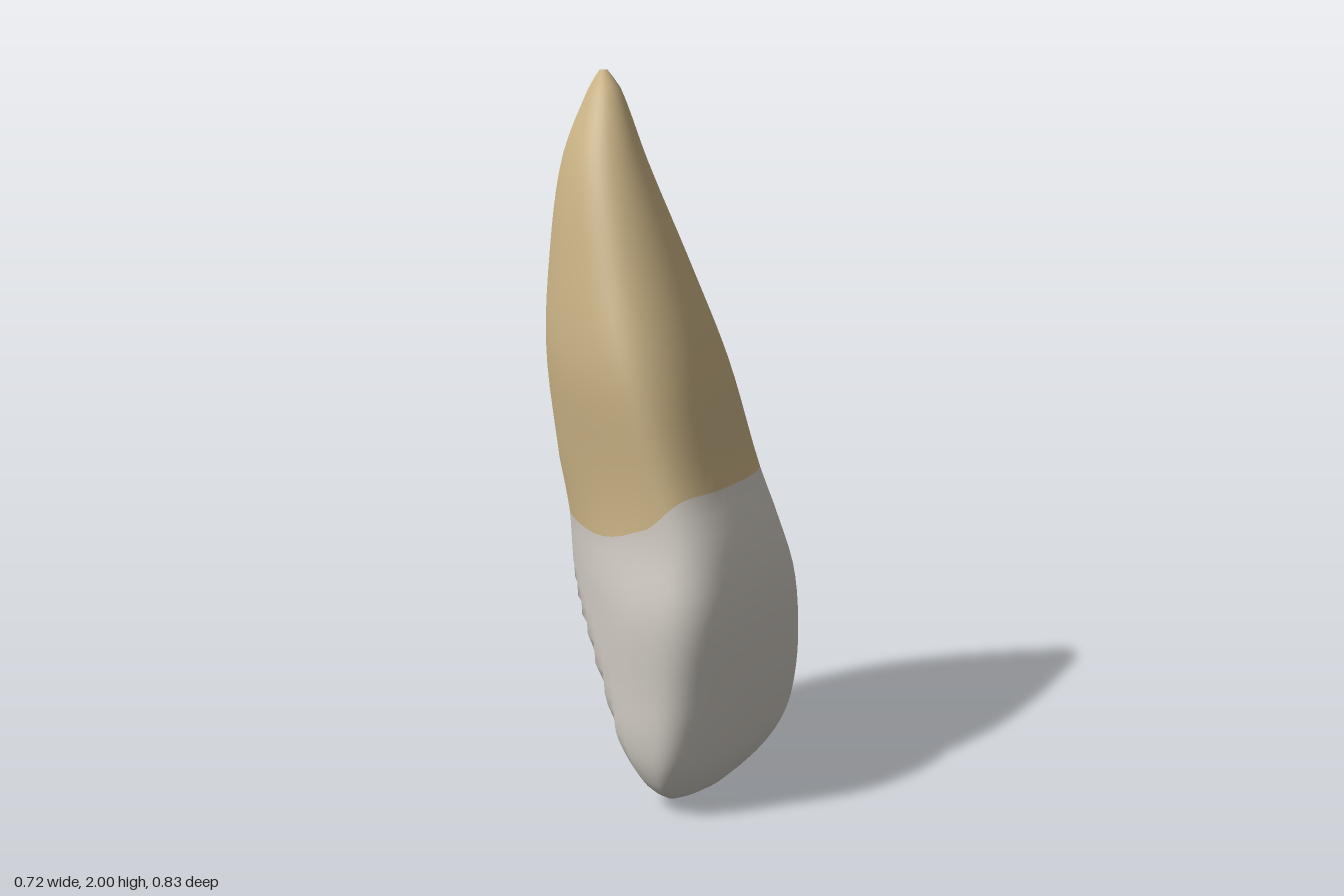
import * as THREE from 'three';

// Outline by height: y, xMin, xMax, front z, z of widest point, back z
const OUTLINE = [
  [0.00, -0.15, 0.06, 0.27, 0.235, 0.18],
  [0.03, -0.285, 0.225, 0.295, 0.235, 0.10],
  [0.10, -0.345, 0.31, 0.335, 0.22, -0.10],
  [0.20, -0.365, 0.35, 0.36, 0.19, -0.28],
  [0.35, -0.357, 0.357, 0.382, 0.16, -0.34],
  [0.57, -0.343, 0.320, 0.392, 0.14, -0.34],
  [0.75, -0.297, 0.262, 0.355, 0.11, -0.34],
  [0.90, -0.284, 0.245, 0.285, 0.08, -0.375],
  [1.20, -0.280, 0.231, 0.185, -0.02, -0.412],
  [1.45, -0.225, 0.188, 0.070, -0.12, -0.410],
  [1.75, -0.130, 0.115, -0.090, -0.22, -0.378],
  [1.95, -0.015, 0.080, -0.215, -0.27, -0.322],
  [2.00, 0.035, 0.060, -0.275, -0.287, -0.300],
];
const SIDES = 56, CROWN_RINGS = 26, ROOT_RINGS = 22, YAW = 0.2;
const { smoothstep } = THREE.MathUtils;

// Smooth interpolation of every outline column at height y
function outlineAt(y) {
  const n = OUTLINE.length;
  let i = 0;
  while (i < n - 2 && y > OUTLINE[i + 1][0]) i++;
  const a = OUTLINE[i], b = OUTLINE[i + 1], h = b[0] - a[0], t = (y - a[0]) / h;
  const slope = (j, c) => {
    const p = OUTLINE[Math.max(j - 1, 0)], q = OUTLINE[Math.min(j + 1, n - 1)];
    return (q[c] - p[c]) / (q[0] - p[0]);
  };
  const t2 = t * t, t3 = t2 * t;
  return a.map((_, c) => (2 * t3 - 3 * t2 + 1) * a[c] + (t3 - 2 * t2 + t) * h * slope(i, c)
    + (3 * t2 - 2 * t3) * b[c] + (t3 - t2) * h * slope(i + 1, c));
}

// Gum line: arches up on the front face
const gumLine = (s) => 0.735 + 0.155 * smoothstep(s, -0.5, 0.9);

// Roundness of each section: boxy crown front, wedge-shaped crown back, oval root
const frontPower = (y) => 2.2 + 0.8 * smoothstep(y, 0, 0.2) - 0.9 * smoothstep(y, 0.6, 1.5);
const backPower = (y) => 1.95 - 0.45 * smoothstep(y, 0, 0.3) * (1 - smoothstep(y, 0.5, 0.9));

// One surface point at height y and angle a (front is +90 degrees)
function surfacePoint(y, a) {
  const [, xMin, xMax, zFront, zWide, zBack] = outlineAt(y);
  const c = Math.cos(a), s = Math.sin(a), n = s >= 0 ? frontPower(y) : backPower(y);
  const u = Math.sign(c) * Math.pow(Math.abs(c), 2 / n);
  const w = Math.pow(Math.abs(s), 2 / n);
  let z = zWide + w * (s >= 0 ? zFront - zWide : zBack - zWide);
  // Sloping, hollowed back of the crown
  if (y < 0.7) {
    const dip = 0.06 * Math.sin(Math.PI * Math.min(y / 0.6, 1)) * (1 - u * u);
    z = Math.max(z, 0.2 - y * (0.6 + 0.55 * y) + dip);
  }
  const dx = u * (xMax - xMin) / 2;
  return [(xMin + xMax) / 2 + dx, y, z - YAW * dx];
}

export function createModel() {
  const enamel = new THREE.MeshStandardMaterial({ color: 0xcdc8c0 });
  enamel.name = 'enamel';
  const dentine = new THREE.MeshStandardMaterial({ color: 0xc8b184 });
  dentine.name = 'dentine';

  // Rings from the biting edge to the root tip, bent to follow the gum line
  const positions = [], rings = CROWN_RINGS + ROOT_RINGS;
  for (let r = 0; r <= rings; r++) {
    for (let k = 0; k < SIDES; k++) {
      const a = (k / SIDES) * Math.PI * 2, gum = gumLine(Math.sin(a));
      const y = r <= CROWN_RINGS
        ? gum * Math.pow(r / CROWN_RINGS, 1.5)
        : gum + (2 - gum) * (1 - Math.pow(1 - (r - CROWN_RINGS) / ROOT_RINGS, 1.3));
      positions.push(...surfacePoint(y, a));
    }
  }
  const bottom = positions.length / 3, tip = bottom + 1;
  positions.push(-0.045, 0, 0.237, 0.0475, 2, -0.287);

  const crownIndex = [], rootIndex = [];
  for (let k = 0; k < SIDES; k++) {
    const next = (k + 1) % SIDES;
    for (let r = 0; r < rings; r++) {
      const a = r * SIDES + k, b = r * SIDES + next, c = a + SIDES, d = b + SIDES;
      (r < CROWN_RINGS ? crownIndex : rootIndex).push(a, c, b, b, c, d);
    }
    crownIndex.push(bottom, k, next);
    rootIndex.push(tip, rings * SIDES + next, rings * SIDES + k);
  }

  // Shared normals keep the surface smooth across the gum line
  const whole = new THREE.BufferGeometry();
  whole.setAttribute('position', new THREE.Float32BufferAttribute(positions, 3));
  whole.setIndex([...crownIndex, ...rootIndex]);
  whole.computeVertexNormals();

  const group = new THREE.Group();
  group.name = 'tooth';
  for (const [name, index, material] of [['crown', crownIndex, enamel], ['root', rootIndex, dentine]]) {
    const geometry = new THREE.BufferGeometry();
    geometry.setAttribute('position', whole.getAttribute('position'));
    geometry.setAttribute('normal', whole.getAttribute('normal'));
    geometry.setIndex(index);
    const mesh = new THREE.Mesh(geometry, material);
    mesh.name = name;
    group.add(mesh);
  }
  return group;
}
